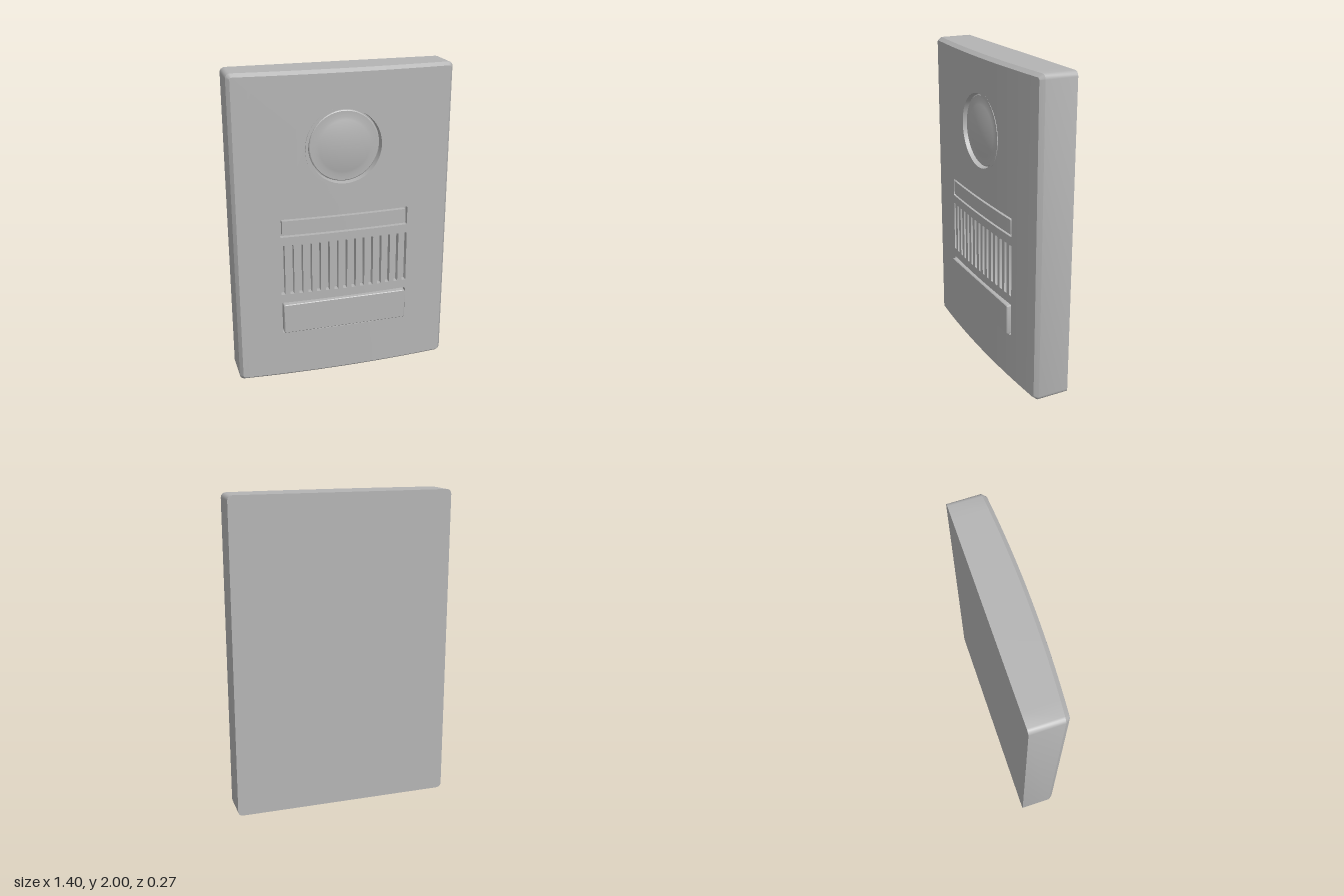
import * as THREE from 'three';
import { toCreasedNormals } from 'three/addons/utils/BufferGeometryUtils.js';

const BACK = -0.135;
const CAMERA_Y = 1.53;
// gently bowed front surface
const bow = (x) => 0.122 - 0.03 * (x / 0.68) ** 2;
const sunk = (depth) => (x) => bow(x) - depth;

// counter-clockwise rounded rectangle, subdivided along x so it can follow the bow
function roundedLoop(cx, cy, w, h, r, steps = 4) {
  const pts = [];
  const corners = [[1, -1, -Math.PI / 2], [1, 1, 0], [-1, 1, Math.PI / 2], [-1, -1, Math.PI]];
  for (const [sx, sy, start] of corners) {
    for (let i = 0; i <= steps; i++) {
      const a = start + (i / steps) * Math.PI / 2;
      pts.push(new THREE.Vector2(
        cx + sx * (w / 2 - r) + r * Math.cos(a),
        cy + sy * (h / 2 - r) + r * Math.sin(a)));
    }
  }
  const out = [];
  pts.forEach((p, i) => {
    const q = pts[(i + 1) % pts.length];
    const n = Math.abs(q.x - p.x) > 0.1 ? 16 : 1;
    for (let k = 0; k < n; k++) out.push(p.clone().lerp(q, k / n));
  });
  return out;
}

function geometryFrom(positions) {
  const g = new THREE.BufferGeometry();
  g.setAttribute('position', new THREE.Float32BufferAttribute(positions, 3));
  return toCreasedNormals(g, 0.4);
}

// wall joining successive loops of equal length; each level is [loop, z rule]
function wall(levels) {
  const pos = [];
  for (let l = 0; l + 1 < levels.length; l++) {
    const [a, za] = levels[l];
    const [b, zb] = levels[l + 1];
    const at = (loop, z, i) => [loop[i].x, loop[i].y, z(loop[i].x)];
    for (let i = 0; i < a.length; i++) {
      const j = (i + 1) % a.length;
      const A = at(a, za, i), B = at(a, za, j), C = at(b, zb, j), D = at(b, zb, i);
      pos.push(...A, ...B, ...C, ...A, ...C, ...D);
    }
  }
  return geometryFrom(pos);
}

// face filling a loop, split in x until it follows the z rule
function face(loop, z, holes = [], flip = false) {
  const shape = new THREE.Shape(loop);
  shape.holes = holes.map((h) => new THREE.Path(h));
  const flat = new THREE.ShapeGeometry(shape);
  const p = flat.attributes.position;
  const index = flat.index.array;
  const pos = [];
  const split = (tri) => {
    let edge = 0, longest = 0;
    for (let i = 0; i < 3; i++) {
      const dx = Math.abs(tri[i].x - tri[(i + 1) % 3].x);
      if (dx > longest) { longest = dx; edge = i; }
    }
    if (longest > 0.11 && !flip) {
      const a = tri[edge], b = tri[(edge + 1) % 3], c = tri[(edge + 2) % 3];
      const m = a.clone().add(b).multiplyScalar(0.5);
      split([a, m, c]);
      split([m, b, c]);
      return;
    }
    for (const v of flip ? [tri[0], tri[2], tri[1]] : tri) pos.push(v.x, v.y, z(v.x));
  };
  for (let i = 0; i < index.length; i += 3) {
    split([0, 1, 2].map((k) => new THREE.Vector2(p.getX(index[i + k]), p.getY(index[i + k]))));
  }
  const g = new THREE.BufferGeometry();
  g.setAttribute('position', new THREE.Float32BufferAttribute(pos, 3));
  // smooth normals taken from the slope of the z rule
  const normals = [];
  for (let i = 0; i < pos.length; i += 3) {
    const slope = (z(pos[i] + 0.001) - z(pos[i] - 0.001)) / 0.002;
    const n = new THREE.Vector3(-slope, 0, 1).normalize().multiplyScalar(flip ? -1 : 1);
    normals.push(n.x, n.y, n.z);
  }
  g.setAttribute('normal', new THREE.Float32BufferAttribute(normals, 3));
  return g;
}

export function createModel() {
  const model = new THREE.Group();
  const grey = new THREE.MeshStandardMaterial({ color: 0xb4b4b4 });
  grey.name = 'grey casing';
  const add = (name, geometry, parent = model) => {
    const mesh = new THREE.Mesh(geometry, grey);
    mesh.name = name;
    parent.add(mesh);
    return mesh;
  };

  // openings in the front
  const nameHole = roundedLoop(0, 1.04, 0.83, 0.12, 0.008);
  const buttonHole = roundedLoop(0, 0.427, 0.83, 0.215, 0.012);
  const slots = [];
  for (let i = -7; i <= 7; i++) slots.push(roundedLoop(i * 0.0575, 0.757, 0.027, 0.335, 0.005, 2));
  const cameraHole = [];
  for (let i = 0; i < 64; i++) {
    const a = (i / 64) * Math.PI * 2;
    cameraHole.push(new THREE.Vector2(0.247 * Math.cos(a), CAMERA_Y + 0.247 * Math.sin(a)));
  }

  // casing: back, sides, chamfer and bowed front
  const outer = roundedLoop(0, 1, 1.396, 2, 0.03);
  const inner = roundedLoop(0, 1, 1.356, 1.96, 0.014);
  const casing = new THREE.Group();
  casing.name = 'casing';
  model.add(casing);
  add('back', face(outer, () => BACK, [], true), casing);
  add('sides', wall([[outer, () => BACK], [outer, sunk(0.025)], [inner, bow]]), casing);
  add('front', face(inner, bow, [nameHole, buttonHole, cameraHole, ...slots]), casing);

  // recesses behind the openings
  const recess = (name, loop, depth) => {
    const group = new THREE.Group();
    group.name = name;
    add('recessWall', wall([[loop, bow], [loop, sunk(depth)]]), group);
    add('recessFloor', face(loop, sunk(depth)), group);
    model.add(group);
  };
  recess('nameRecess', nameHole, 0.03);
  recess('buttonRecess', buttonHole, 0.03);
  slots.forEach((s) => recess('speakerSlot', s, 0.04));

  // name plate, flush with the bowed front
  const plate = roundedLoop(0, 1.04, 0.804, 0.092, 0.004);
  add('namePlateEdge', wall([[plate, sunk(0.03)], [plate, bow]]));
  add('namePlate', face(plate, bow));

  // call button, flat and standing proud
  const buttonOuter = roundedLoop(0, 0.427, 0.812, 0.197, 0.01);
  const buttonInner = roundedLoop(0, 0.427, 0.804, 0.189, 0.007);
  add('callButtonEdge', wall([
    [buttonOuter, sunk(0.03)], [buttonOuter, () => 0.131], [buttonInner, () => 0.135]]));
  add('callButton', face(buttonInner, () => 0.135));

  // camera: raised rim, groove, flange and domed lens
  const profile = [
    [0.25, 0.085], [0.25, 0.122], [0.232, 0.122], [0.229, 0.075], [0.221, 0.075],
    [0.221, 0.097], [0.216, 0.101], [0.18, 0.101],
  ];
  for (let i = 1; i <= 10; i++) {
    const r = 0.18 * (1 - i / 10);
    profile.push([r, 0.101 + 0.02 * (1 - (r / 0.18) ** 2)]);
  }
  const lathe = new THREE.LatheGeometry(profile.map(([r, z]) => new THREE.Vector2(r, z)), 64);
  const camera = add('cameraLens', toCreasedNormals(lathe, 0.4));
  camera.rotation.x = Math.PI / 2;
  camera.position.y = CAMERA_Y;

  return model;
}
